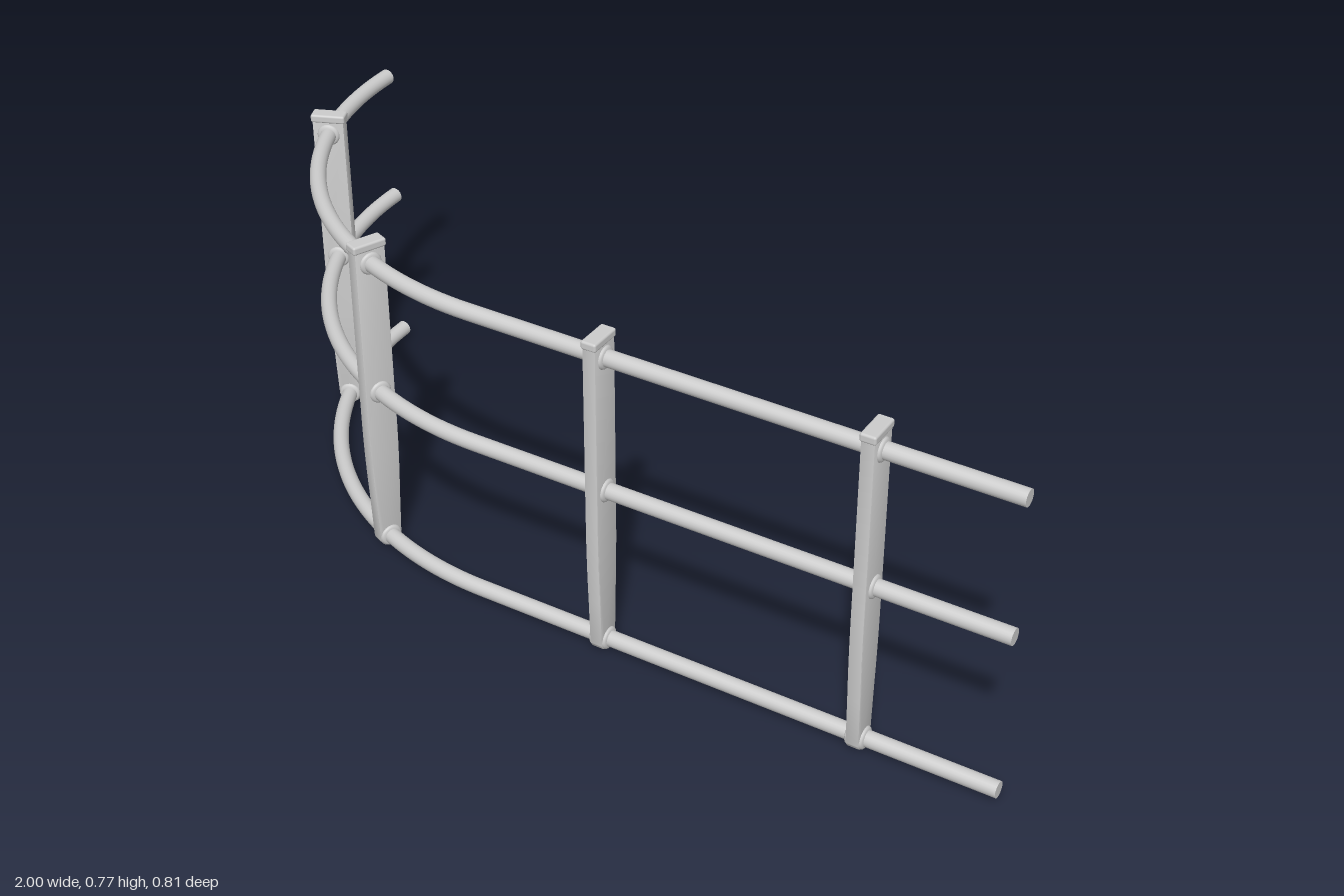
import * as THREE from 'three';
import { toCreasedNormals } from 'three/addons/utils/BufferGeometryUtils.js';
import { RoundedBoxGeometry } from 'three/addons/geometries/RoundedBoxGeometry.js';

const MAT = new THREE.MeshStandardMaterial({ color: 0xcccccc });
const RAIL_R = 0.018, RAIL_Y = [0.03, 0.41, 0.727];
const BEND_X = -0.212, BEND_Z = -0.404, BEND_R = 0.77;
const STRAIGHT = 1 - BEND_X, ARC = BEND_R * Math.PI / 2;

// Fence line: straight run followed by a quarter-circle bend
class FenceLine extends THREE.Curve {
  getPoint(t, target = new THREE.Vector3()) {
    const s = t * (STRAIGHT + ARC);
    if (s <= STRAIGHT) return target.set(1 - s, 0, BEND_Z + BEND_R);
    const a = (s - STRAIGHT) / BEND_R;
    return target.set(BEND_X - BEND_R * Math.sin(a), 0, BEND_Z + BEND_R * Math.cos(a));
  }
}

function add(parent, geometry, name) {
  const mesh = new THREE.Mesh(geometry, MAT);
  mesh.name = name;
  parent.add(mesh);
  return mesh;
}

function makeRail(y) {
  const rail = new THREE.Group();
  rail.name = 'rail';
  rail.position.y = y;
  add(rail, new THREE.TubeGeometry(new FenceLine(), 96, RAIL_R, 20), 'railTube');
  const disc = new THREE.CircleGeometry(RAIL_R, 20);
  const startCap = add(rail, disc, 'railEnd');
  startCap.position.set(1, 0, BEND_Z + BEND_R);
  startCap.rotation.y = Math.PI / 2;
  const endCap = add(rail, disc, 'railEnd');
  endCap.position.set(BEND_X - BEND_R, 0, BEND_Z);
  endCap.rotation.y = Math.PI;
  return rail;
}

// Flat upright, tapered towards a rounded foot
function postGeometry() {
  const shape = new THREE.Shape();
  const b = 0.003, half = 0.036 - b, foot = 0.027 - b;
  shape.moveTo(half, 0.762);
  shape.lineTo(-half, 0.762);
  shape.lineTo(-half, 0.33);
  shape.quadraticCurveTo(-half, 0.24, -0.031 + b, 0.14);
  shape.lineTo(-foot, 0.03);
  shape.absarc(0, 0.03, foot, Math.PI, Math.PI * 2, false);
  shape.lineTo(0.031 - b, 0.14);
  shape.quadraticCurveTo(half, 0.24, half, 0.33);
  const geo = new THREE.ExtrudeGeometry(shape, {
    depth: 0.024, bevelEnabled: true, bevelThickness: b, bevelSize: b, bevelSegments: 2, curveSegments: 12,
  });
  geo.translate(0, 0, -0.012);
  geo.rotateY(Math.PI / 2);
  return toCreasedNormals(geo, 0.6);
}

// Flared weld collar running through the post
function collarGeometry() {
  const pts = [[0.0175, -0.021], [0.0215, -0.02], [0.024, -0.018], [0.026, -0.014],
    [0.026, 0.014], [0.024, 0.018], [0.0215, 0.02], [0.0175, 0.021]];
  const geo = new THREE.LatheGeometry(pts.map(([r, h]) => new THREE.Vector2(r, h)), 24);
  return geo.rotateZ(Math.PI / 2);
}

export function createModel() {
  const model = new THREE.Group();
  model.name = 'curvedRailing';
  RAIL_Y.forEach((y) => model.add(makeRail(y)));

  const postGeo = postGeometry();
  const collarGeo = collarGeometry();
  const capGeo = new RoundedBoxGeometry(0.035, 0.019, 0.078, 3, 0.005);

  // Posts stand square to the fence line
  const line = new FenceLine();
  const stations = [0.305, 0.905, STRAIGHT + BEND_R * Math.PI / 8, STRAIGHT + BEND_R * Math.PI * 3 / 8];
  for (const s of stations) {
    const post = new THREE.Group();
    post.name = 'post';
    post.position.copy(line.getPoint(s / (STRAIGHT + ARC)));
    post.rotation.y = -Math.max(0, s - STRAIGHT) / BEND_R;
    add(post, postGeo, 'upright');
    add(post, capGeo, 'postCap').position.y = 0.7655;
    for (const y of RAIL_Y) add(post, collarGeo, 'collar').position.y = y;
    model.add(post);
  }
  return model;
}
